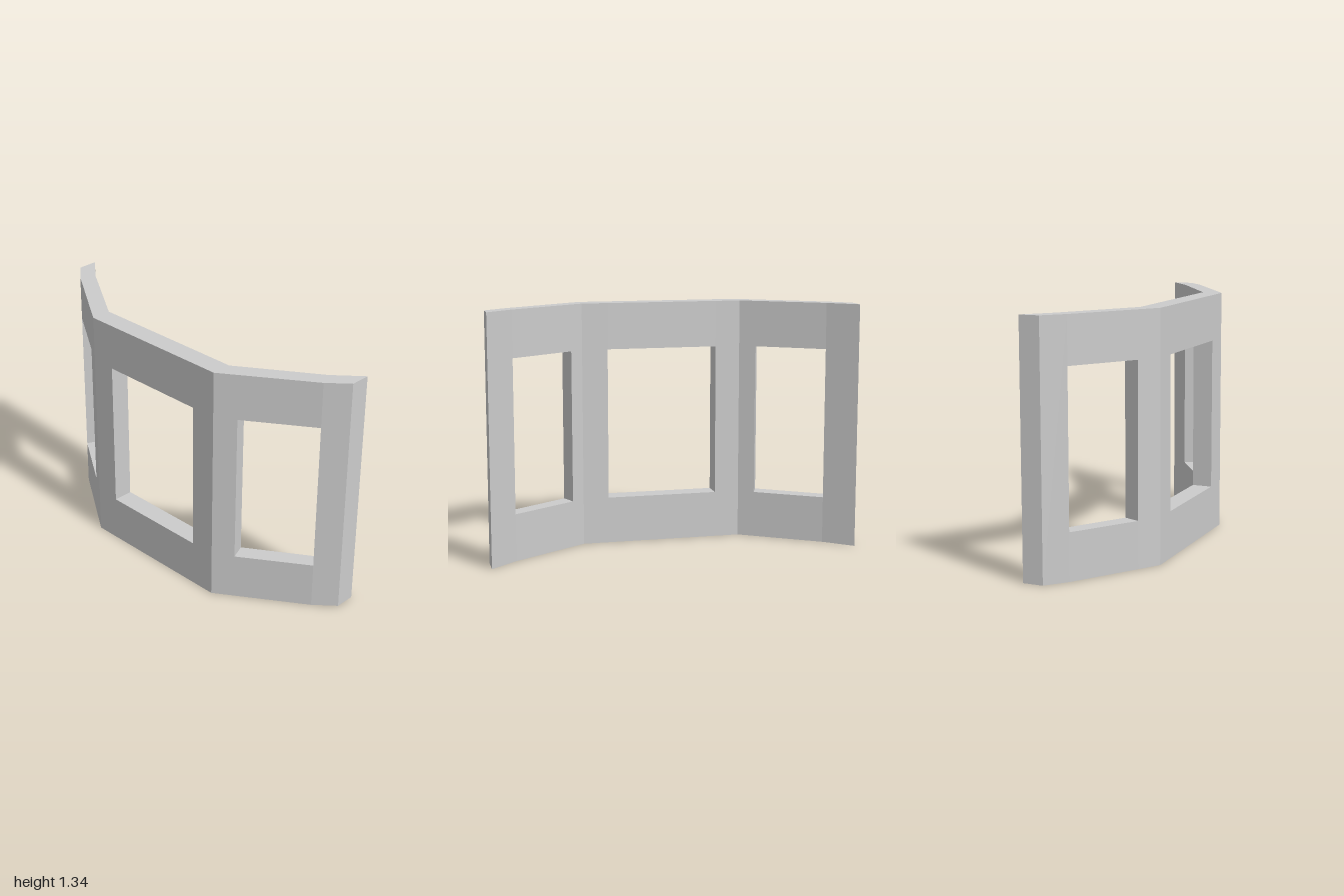
import * as THREE from 'three';

const HEIGHT = 1.335, SILL = 0.255, HEAD = 1.083;

// Plan stations from -x to +x: [front x, front z, back x, back z]
const STATIONS = [
  [-1, -0.145, -1, -0.255],
  [-0.893, -0.05, -0.856, -0.13],
  [-0.557, 0.175, -0.522, 0.089],
  [-0.444, 0.25, -0.444, 0.14],
  [-0.308, 0.25, -0.308, 0.14],
  [0.303, 0.25, 0.303, 0.14],
  [0.444, 0.25, 0.444, 0.14],
  [0.546, 0.182, 0.511, 0.096],
  [0.893, -0.05, 0.856, -0.13],
  [1, -0.145, 1, -0.255],
];

const front = (s, y) => [s[0], y, s[1]];
const back = (s, y) => [s[2], y, s[3]];

function quad(out, a, b, c, d) {
  out.push(...a, ...b, ...c, ...a, ...c, ...d);
}

// Cross-wall face at one station, looking toward +x or -x
function crossFace(out, s, y0, y1, towardPlusX) {
  const c = [front(s, y0), back(s, y0), back(s, y1), front(s, y1)];
  quad(out, ...(towardPlusX ? c : c.reverse()));
}

// Length of wall between two stations: front, back, top and bottom
function band(out, a, b, y0, y1) {
  quad(out, front(a, y0), front(b, y0), front(b, y1), front(a, y1));
  quad(out, back(b, y0), back(a, y0), back(a, y1), back(b, y1));
  quad(out, front(a, y1), front(b, y1), back(b, y1), back(a, y1));
  quad(out, back(a, y0), back(b, y0), front(b, y0), front(a, y0));
}

// Three bays of wall: solid pier, window bay, solid pier
function wallSection(name, first, material) {
  const out = [];
  for (let i = first; i < first + 3; i++) {
    const a = STATIONS[i], b = STATIONS[i + 1];
    if (i === first + 1) {
      band(out, a, b, 0, SILL);
      band(out, a, b, HEAD, HEIGHT);
      crossFace(out, a, SILL, HEAD, true);
      crossFace(out, b, SILL, HEAD, false);
    } else {
      band(out, a, b, 0, HEIGHT);
    }
  }
  // Outer ends of the whole wall
  if (first === 0) crossFace(out, STATIONS[0], 0, HEIGHT, false);
  if (first === 6) crossFace(out, STATIONS[9], 0, HEIGHT, true);

  const geometry = new THREE.BufferGeometry();
  geometry.setAttribute('position', new THREE.Float32BufferAttribute(out, 3));
  geometry.computeVertexNormals();
  const mesh = new THREE.Mesh(geometry, material);
  mesh.name = name;
  return mesh;
}

export function createModel() {
  const group = new THREE.Group();
  group.name = 'bayWindowWall';
  const material = new THREE.MeshStandardMaterial({ color: 0xcccccc, flatShading: true });
  ['rightWing', 'centreWall', 'leftWing'].forEach((name, i) => {
    // Sections start at every third station and share the corner stations
    group.add(wallSection(name, i * 3, material));
  });
  return group;
}
